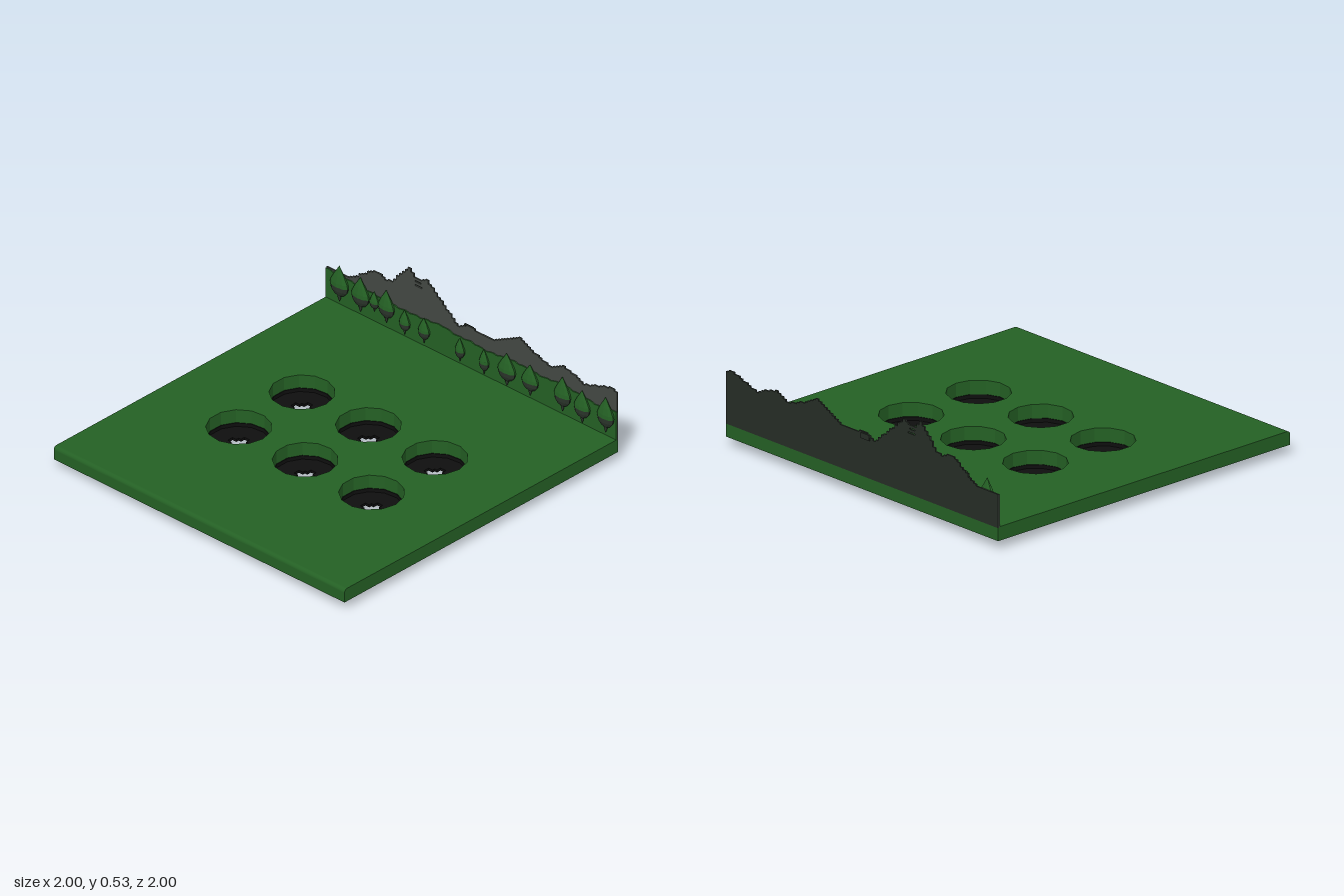
import * as THREE from 'three';

const mat = (name, color, side = THREE.FrontSide) => {
  const m = new THREE.MeshStandardMaterial({ color, side });
  m.name = name;
  return m;
};

const flat = (g) => {
  const f = g.toNonIndexed();
  f.computeVertexNormals();
  return f;
};

const polygon = (x, y, r, n = 13) =>
  Array.from({ length: n }, (_, i) => {
    const a = (i / n) * Math.PI * 2;
    return new THREE.Vector2(x + Math.cos(a) * r, y + Math.sin(a) * r);
  });

const extrude = (shape, depth) => new THREE.ExtrudeGeometry(shape, { depth, bevelEnabled: false });

// extrudes a plan outline (x, -z) upward from y0 to y1
const slabGeometry = (shape, y0, y1) => extrude(shape, y1 - y0).rotateX(-Math.PI / 2).translate(0, y0, 0);

// linear interpolation along a ridge line of [x, y] pairs
const heightAt = (line, x) => {
  for (let i = 1; i < line.length; i++) {
    const [x0, y0] = line[i - 1], [x1, y1] = line[i];
    if (x <= x1) return y0 + ((y1 - y0) * (x - x0)) / (x1 - x0);
  }
  return line[line.length - 1][1];
};

const mountainLine = [
  [-1, 0.305], [-0.86, 0.3], [-0.8, 0.325], [-0.72, 0.38], [-0.66, 0.42], [-0.6, 0.39], [-0.55, 0.4],
  [-0.5, 0.46], [-0.43, 0.53], [-0.4, 0.495], [-0.36, 0.485], [-0.31, 0.505], [-0.26, 0.47], [-0.2, 0.42],
  [-0.1, 0.33], [-0.02, 0.36], [0.1, 0.345], [0.18, 0.36], [0.24, 0.39], [0.33, 0.445], [0.4, 0.4],
  [0.54, 0.36], [0.63, 0.4], [0.7, 0.38], [0.77, 0.35], [0.83, 0.37], [0.95, 0.41], [1, 0.4],
];
const hillLine = [
  [-1, 0.295], [-0.8, 0.285], [-0.5, 0.27], [-0.35, 0.275], [-0.2, 0.29], [-0.1, 0.275], [0, 0.28],
  [0.1, 0.27], [0.3, 0.29], [0.5, 0.28], [0.62, 0.295], [0.8, 0.28], [0.9, 0.27], [1, 0.29],
];

// trees: x, half width, bottom, top
const trees = [
  [-0.895, 0.062, 0.145, 0.357], [-0.75, 0.06, 0.145, 0.35], [-0.655, 0.03, 0.185, 0.307],
  [-0.572, 0.054, 0.155, 0.35], [-0.446, 0.035, 0.14, 0.287], [-0.313, 0.038, 0.145, 0.297],
  [-0.066, 0.032, 0.14, 0.282], [0.1, 0.032, 0.135, 0.287], [0.257, 0.06, 0.135, 0.328],
  [0.417, 0.056, 0.145, 0.328], [0.64, 0.056, 0.145, 0.35], [0.775, 0.054, 0.135, 0.328],
  [0.937, 0.057, 0.145, 0.355],
];

export function createModel() {
  const green = mat('grassGreen', 0x246024);
  const black = mat('cupBlack', 0x0e0e0e);
  const gray = mat('mountainGray', 0x434843);
  const dark = mat('backdropDark', 0x262d26);
  const shade = mat('treeShade', 0x2b352b);

  const model = new THREE.Group();
  const add = (name, geometry, material, parent = model) => {
    const m = new THREE.Mesh(geometry, material);
    m.name = name;
    parent.add(m);
    return m;
  };

  const cups = [];
  for (const z of [-0.232, 0.228]) for (const x of [-0.457, 0, 0.457]) cups.push([x, z]);

  // ground board with six round openings
  const board = new THREE.Shape([[-1, -0.98], [1, -0.98], [1, 0.99], [-1, 0.99]].map((p) => new THREE.Vector2(...p)));
  for (const [x, z] of cups) board.holes.push(new THREE.Path(polygon(x, -z, 0.166)));
  add('groundBoard', slabGeometry(board, 0.05, 0.125), green);

  // rounded front lip, section drawn in (z, y)
  const lip = new THREE.Shape();
  lip.moveTo(0.98, 0.05);
  lip.lineTo(1, 0.05);
  lip.lineTo(1, 0.105);
  lip.absarc(0.98, 0.105, 0.02, 0, Math.PI / 2, false);
  lip.closePath();
  add('frontLip', extrude(lip, 2).rotateY(-Math.PI / 2).translate(1, 0, 0), green);

  // cups: a rim ring and a recessed floor with a stepped cross opening
  const ring = new THREE.Shape(polygon(0, 0, 0.179));
  ring.holes.push(new THREE.Path(polygon(0, 0, 0.162)));
  const rimGeometry = slabGeometry(ring, 0, 0.05);

  const floor = new THREE.Shape(polygon(0, 0, 0.165));
  const cross = [];
  const quarter = [[0.06, -0.018], [0.06, 0.018], [0.034, 0.018], [0.034, 0.034], [0.018, 0.034]];
  for (let q = 0; q < 4; q++)
    for (const p of quarter) cross.push(new THREE.Vector2(...p).rotateAround(new THREE.Vector2(), (q * Math.PI) / 2));
  floor.holes.push(new THREE.Path(cross));
  const floorGeometry = slabGeometry(floor, 0.015, 0.03);

  for (const [x, z] of cups) {
    const cup = new THREE.Group();
    cup.name = 'cup';
    cup.position.set(x, 0, z);
    add('cupRim', rimGeometry, black, cup);
    add('cupFloor', floorGeometry, black, cup);
    model.add(cup);
  }

  // stepped mountain backdrop: gray in front, dark behind
  const mountains = new THREE.Shape();
  mountains.moveTo(-1, 0.12);
  const step = 0.02;
  for (let i = 0; i < 100; i++) {
    const x = -1 + i * step;
    const y = Math.round(heightAt(mountainLine, x + step / 2) / 0.01) * 0.01;
    mountains.lineTo(x, y);
    mountains.lineTo(x + step, y);
  }
  mountains.lineTo(1, 0.12);
  mountains.closePath();
  for (const [y, w] of [[0.445, 0.05], [0.468, 0.04]]) {
    const slit = [[-0.39, y], [-0.39 + w, y], [-0.39 + w, y + 0.007], [-0.39, y + 0.007]];
    mountains.holes.push(new THREE.Path(slit.map((p) => new THREE.Vector2(...p))));
  }
  add('mountainFront', extrude(mountains, 0.004).translate(0, 0, -0.986), gray);
  add('mountainBack', extrude(mountains, 0.005).translate(0, 0, -0.991), dark);
  add('backKnob', new THREE.BoxGeometry(0.06, 0.03, 0.012).translate(-0.03, 0.34, -0.994), dark);

  // low green hills in front of the mountains
  const hills = new THREE.Shape();
  hills.moveTo(-1, 0.12);
  for (let i = 0; i <= 80; i++) {
    const x = -1 + i / 40;
    hills.lineTo(x, heightAt(hillLine, x) + 0.004 * Math.sin(i * 2.1));
  }
  hills.lineTo(1, 0.12);
  hills.closePath();
  add('hills', extrude(hills, 0.006).translate(0, 0, -0.982), green);

  // flattened pointed trees: green crown over a shaded underside and stem
  const lathe = (pts) => flat(new THREE.LatheGeometry(pts.map((p) => new THREE.Vector2(...p)), 9));
  const crown = lathe([[1, 0.45], [0.93, 0.55], [0.62, 0.72], [0.3, 0.86], [0.001, 1]]);
  const under = lathe([[0.001, 0], [0.14, 0.08], [0.22, 0.17], [0.6, 0.23], [0.9, 0.33], [1, 0.45]]);
  for (const [x, w, y0, y1] of trees) {
    const tree = new THREE.Group();
    tree.name = 'tree';
    tree.position.set(x, y0, -0.966);
    tree.scale.set(w, y1 - y0, 0.012 + w * 0.22);
    add('treeCrown', crown, green, tree);
    add('treeUnderside', under, shade, tree);
    model.add(tree);
  }
  return model;
}
